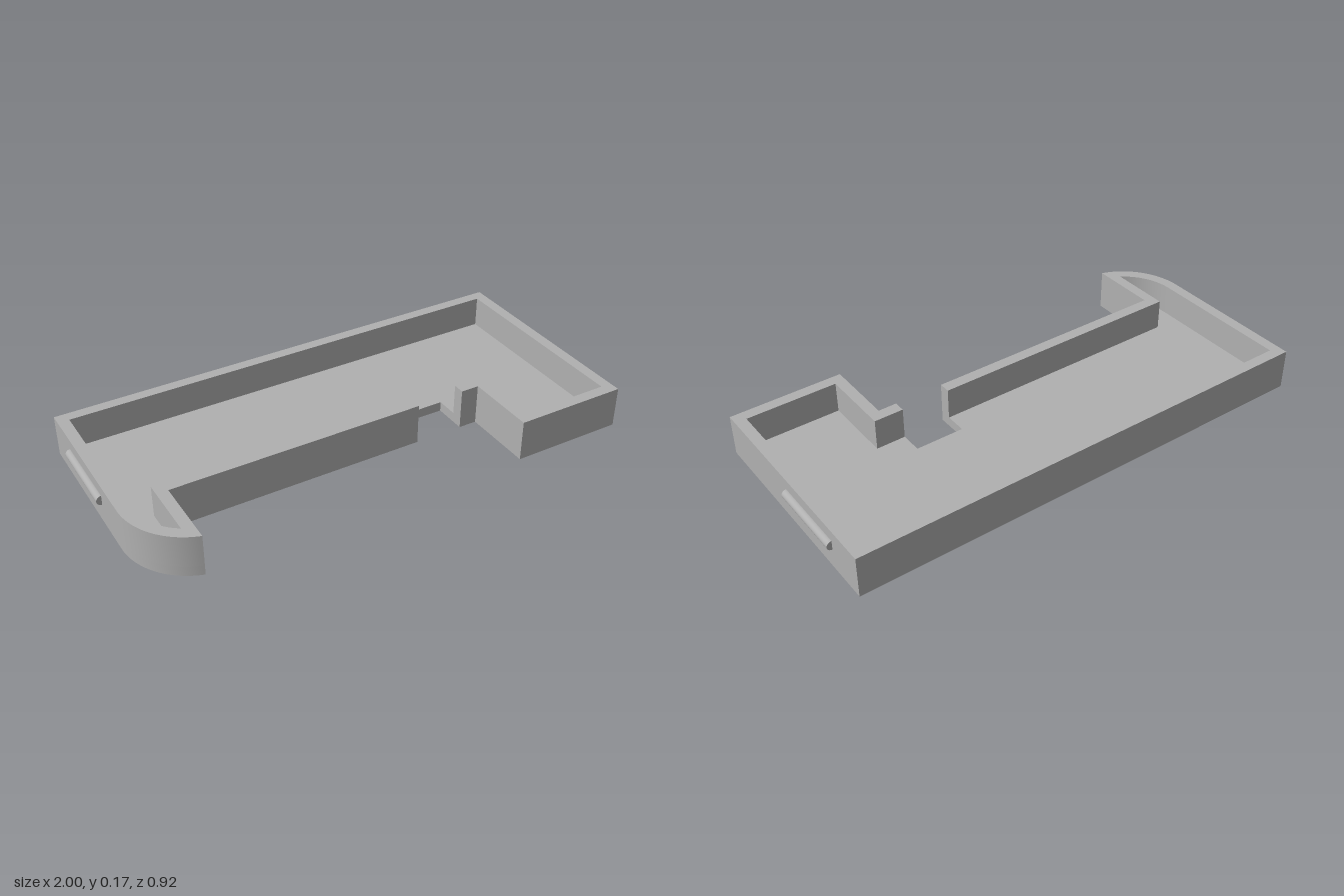
import * as THREE from 'three';
import { toCreasedNormals } from 'three/addons/utils/BufferGeometryUtils.js';

const FLOOR = 0.04, TOP = 0.168; // floor thickness and rim height
const CX = -0.705, CZ = 0.183;   // centre of the rounded corner

// Rounded corner as [x, z] points, from the side wall round to the given x
function corner(radius, endX, steps = 24) {
  const end = Math.acos((endX - CX) / radius);
  return Array.from({ length: steps + 1 }, (_, i) => {
    const a = Math.PI + (end - Math.PI) * i / steps;
    return [CX + radius * Math.cos(a), CZ + radius * Math.sin(a)];
  });
}

// Extrude a plan outline of [x, z] points between two heights
function slab(name, points, bottom, top, material) {
  const shape = new THREE.Shape(points.map(([x, z]) => new THREE.Vector2(x, z)));
  const geometry = new THREE.ExtrudeGeometry(shape, { depth: top - bottom, bevelEnabled: false });
  geometry.rotateX(Math.PI / 2).translate(0, top, 0);
  const mesh = new THREE.Mesh(toCreasedNormals(geometry, 0.4), material);
  mesh.name = name;
  return mesh;
}

export function createModel() {
  const group = new THREE.Group();
  group.name = 'tray';
  const grey = new THREE.MeshStandardMaterial({ color: 0xb0b0b0 });
  grey.name = 'grey';

  // Outer edge, from the left of the notch round the back to its right
  const outer = [
    [0.245, 0.166], [-0.785, 0.166],
    ...corner(0.275, -0.785).reverse(),
    [-0.98, -0.46], [0.98, -0.46], [0.98, 0.457],
    [0.52, 0.457], [0.52, 0.166], [0.445, 0.166],
  ];
  // Inner edge of the rim, running back the other way
  const inner = [
    [0.445, 0.119], [0.565, 0.119], [0.565, 0.411], [0.935, 0.411],
    [0.935, -0.415], [-0.935, -0.415],
    ...corner(0.23, -0.83),
    [-0.83, 0.119], [0.245, 0.119],
  ];

  // Floor with the notch cut into its front edge
  group.add(slab('floor', [...outer, [0.445, 0.03], [0.245, 0.03]], 0, FLOOR, grey));
  // Rim wall, open at the notch
  group.add(slab('rimWall', [...outer, ...inner], FLOOR, TOP, grey));

  // Half-sunk round bar handles on both sides
  for (const side of [-1, 1]) {
    const handle = new THREE.Mesh(new THREE.CylinderGeometry(0.0195, 0.0195, 0.32, 32), grey);
    handle.name = side > 0 ? 'leftHandle' : 'rightHandle';
    handle.rotation.x = Math.PI / 2;
    handle.position.set(side * 0.9805, 0.1035, -0.137);
    group.add(handle);
  }
  return group;
}
